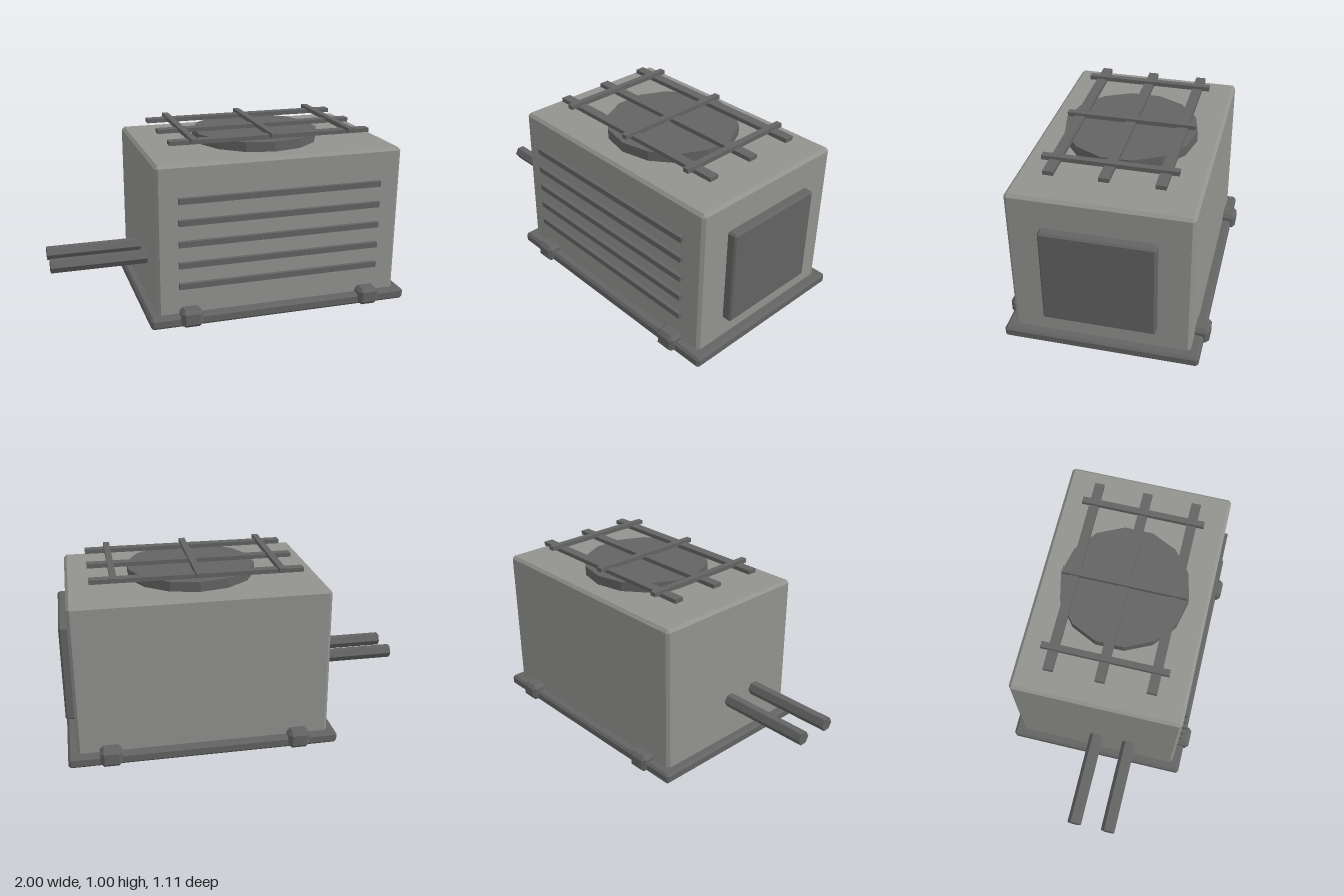
import * as THREE from 'three';
import { ConvexGeometry } from 'three/addons/geometries/ConvexGeometry.js';

const casing = new THREE.MeshStandardMaterial({ color: 0x92928f });
casing.name = 'casing grey';
const trim = new THREE.MeshStandardMaterial({ color: 0x636363 });
trim.name = 'dark grey';

// Box with chamfered edges and corners, given by its lower and upper limits.
function chamferBox([x0, y0, z0], [x1, y1, z1], c) {
  const half = [(x1 - x0) / 2, (y1 - y0) / 2, (z1 - z0) / 2];
  const points = [];
  for (const sx of [-1, 1]) for (const sy of [-1, 1]) for (const sz of [-1, 1]) {
    for (let axis = 0; axis < 3; axis++) {
      const p = half.map((h, i) => (i === axis ? h : h - c));
      points.push(new THREE.Vector3(p[0] * sx, p[1] * sy, p[2] * sz));
    }
  }
  const geometry = new ConvexGeometry(points);
  geometry.translate((x0 + x1) / 2, (y0 + y1) / 2, (z0 + z1) / 2);
  return geometry;
}

export function createModel() {
  const model = new THREE.Group();
  model.name = 'coolingUnit';

  const add = (name, geometry, material, x = 0, y = 0, z = 0) => {
    const mesh = new THREE.Mesh(geometry, material);
    mesh.name = name;
    mesh.position.set(x, y, z);
    model.add(mesh);
    return mesh;
  };

  // Base plate and main housing
  add('basePlate', chamferBox([-0.51, 0, -0.527], [0.995, 0.062, 0.527], 0.013), trim);
  add('housing', chamferBox([-0.463, 0.045, -0.478], [0.945, 0.905, 0.478], 0.016), casing);

  // Mounting feet clamped over the base edges
  for (const x of [-0.284, 0.764]) {
    for (const side of [-1, 1]) {
      const z = [0.455 * side, 0.555 * side].sort((a, b) => a - b);
      add('mountingFoot', chamferBox([x - 0.06, 0, z[0]], [x + 0.06, 0.1, z[1]], 0.02), trim);
    }
  }

  // Access panel on the left side
  add('accessPanel', chamferBox([0.93, 0.18, -0.3], [0.995, 0.733, 0.3], 0.01), trim);

  // Front louvres
  for (let i = 0; i < 5; i++) {
    add('louvre', new THREE.BoxGeometry(1.163, 0.032, 0.04), trim, 0.238, 0.226 + i * 0.121, 0.48);
  }

  // Fan housing on the roof
  const fan = new THREE.CylinderGeometry(0.363, 0.363, 0.07, 14).toNonIndexed();
  fan.computeVertexNormals();
  add('fanHousing', fan, trim, 0.238, 0.925, 0);

  // Guard grille above the fan
  for (const k of [-1, 0, 1]) {
    add('grilleLongBar', new THREE.BoxGeometry(1.163, 0.023, 0.055), trim, 0.238, 0.976, k * 0.283);
    add('grilleCrossBar', new THREE.BoxGeometry(0.035, 0.024, 0.705), trim, 0.238 + k * 0.453, 0.991, 0);
  }

  // Hexagonal pipes leaving the right side
  for (const z of [0, 0.198]) {
    const pipe = new THREE.CylinderGeometry(0.04, 0.04, 0.56, 6).toNonIndexed();
    pipe.computeVertexNormals();
    add('pipe', pipe, trim, -0.72, 0.306, z).rotation.z = Math.PI / 2;
  }

  return model;
}
